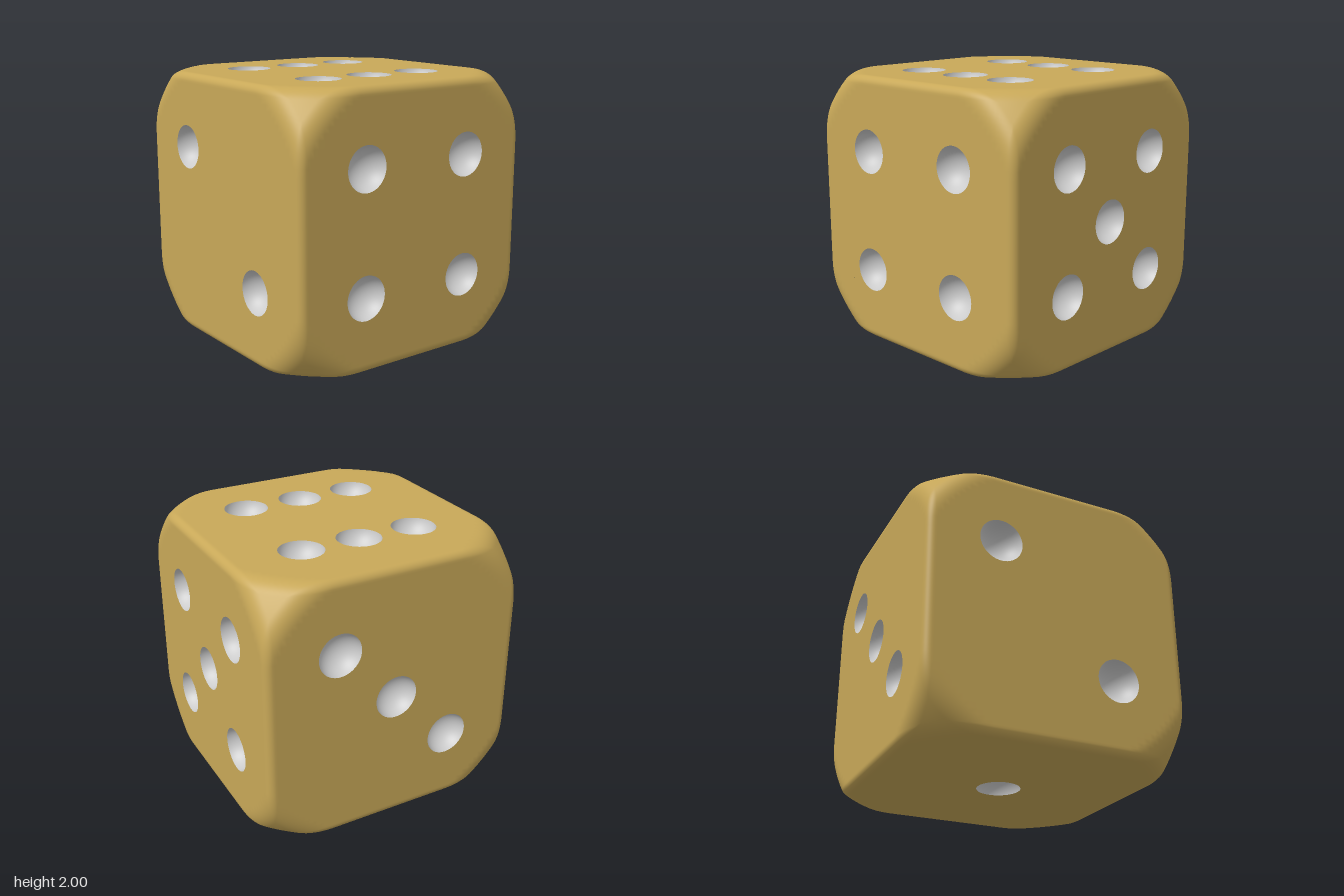
import * as THREE from 'three';

const BEVEL = 0.06;      // rounding of the straight edges
const CORNER = 1.54;     // radius of the ball that trims the corners
const BLEND = 0.07;      // softness between ball and cube
const PANEL = 0.68;      // half size of the drilled centre of each face
const PIP = 0.163;       // pip radius at the surface
const PIP_RISE = 0.03;   // height of the pip ball's centre above the face
const S = 0.45;          // pip spacing

// Signed distance to a rounded cube softly intersected with a ball
function distance(x, y, z) {
  const c = 1 - BEVEL;
  const q = [x, y, z].map((v) => Math.abs(v) - c);
  const out = Math.hypot(...q.map((v) => Math.max(v, 0)));
  const box = out + Math.min(Math.max(...q), 0) - BEVEL;
  const ball = Math.hypot(x, y, z) - CORNER;
  const h = Math.max(BLEND - Math.abs(box - ball), 0) / BLEND;
  return Math.max(box, ball) + h * h * BLEND * 0.25;
}

// Slide a point on the plain cube towards the centre until it meets the surface
function project(p) {
  let lo = 0.5, hi = 1;
  if (distance(p.x, p.y, p.z) < 1e-6) return p;
  for (let i = 0; i < 30; i++) {
    const m = (lo + hi) / 2;
    if (distance(p.x * m, p.y * m, p.z * m) > 0) hi = m; else lo = m;
  }
  return p.multiplyScalar(lo);
}

function surfaceNormal({ x, y, z }) {
  const e = 1e-4;
  return new THREE.Vector3(
    distance(x + e, y, z) - distance(x - e, y, z),
    distance(x, y + e, z) - distance(x, y - e, z),
    distance(x, y, z + e) - distance(x, y, z - e)
  ).normalize();
}

// Rounded border around the drilled panel, facing +z
function borderGeometry() {
  const rim = [0.72, 0.76, 0.8, 0.84, 0.88, 0.91, 0.93, 0.945, 0.96, 0.97, 0.98, 0.99, 1];
  const ticks = rim.map((v) => -v).reverse();
  for (let i = 0; i <= 24; i++) ticks.push(PANEL * (i / 12 - 1));
  ticks.push(...rim);
  const n = ticks.length, position = [], normal = [], index = [];
  for (const v of ticks) for (const u of ticks) {
    const p = project(new THREE.Vector3(u, v, 1));
    position.push(p.x, p.y, p.z);
    normal.push(...surfaceNormal(p).toArray());
  }
  const inside = (i) => i >= rim.length && i < n - 1 - rim.length;
  for (let j = 0; j < n - 1; j++) for (let i = 0; i < n - 1; i++) {
    if (inside(i) && inside(j)) continue;
    const a = j * n + i, b = a + 1, c = a + n, d = c + 1;
    // diagonals point to the cube's corners
    if ((i < n / 2) === (j < n / 2)) index.push(a, b, d, a, d, c);
    else index.push(a, b, c, b, d, c);
  }
  const g = new THREE.BufferGeometry();
  g.setAttribute('position', new THREE.Float32BufferAttribute(position, 3));
  g.setAttribute('normal', new THREE.Float32BufferAttribute(normal, 3));
  g.setIndex(index);
  return g;
}

// Flat centre of a face with a round hole for every pip
function panelGeometry(pips) {
  const shape = new THREE.Shape([[-1, -1], [1, -1], [1, 1], [-1, 1]]
    .map(([x, y]) => new THREE.Vector2(x * PANEL, y * PANEL)));
  for (const [x, y] of pips) {
    shape.holes.push(new THREE.Path().absarc(x, y, PIP, 0, Math.PI * 2, true));
  }
  return new THREE.ShapeGeometry(shape, 24).translate(0, 0, 1);
}

export function createModel() {
  const gold = new THREE.MeshStandardMaterial({ color: 0xc8a858 });
  const grey = new THREE.MeshStandardMaterial({ color: 0xcccccc, side: THREE.DoubleSide });

  const border = borderGeometry();
  const ball = Math.hypot(PIP, PIP_RISE);
  const bowl = new THREE.SphereGeometry(ball, 48, 16, 0, Math.PI * 2, 0, Math.acos(PIP_RISE / ball))
    .rotateX(-Math.PI / 2);

  // Pip layouts, seen facing each side
  const one = [[0, 0]];
  const two = [[-S, S], [S, -S]];
  const three = [...two, ...one];
  const four = [...two, [S, S], [-S, -S]];
  const five = [...four, ...one];
  const six = [...four, [0, S], [0, -S]];

  const q = Math.PI / 2;
  const faces = [
    ['front', four, 0, 0],
    ['right', five, 0, q],
    ['back', three, 0, 2 * q],
    ['left', two, 0, -q],
    ['top', six, -q, 0],
    ['bottom', one, q, 0],
  ];

  const model = new THREE.Group();
  model.name = 'die';
  for (const [name, pips, rx, ry] of faces) {
    const face = new THREE.Group();
    face.name = name + 'Face';
    face.rotation.set(rx, ry, 0);
    face.position.y = 1;

    const edge = new THREE.Mesh(border, gold);
    edge.name = name + 'RoundedBorder';
    const panel = new THREE.Mesh(panelGeometry(pips), gold);
    panel.name = name + 'Panel';
    face.add(edge, panel);

    for (const [x, y] of pips) {
      const pip = new THREE.Mesh(bowl, grey);
      pip.name = name + 'Pip';
      pip.position.set(x, y, 1 + PIP_RISE);
      face.add(pip);
    }
    model.add(face);
  }
  return model;
}
